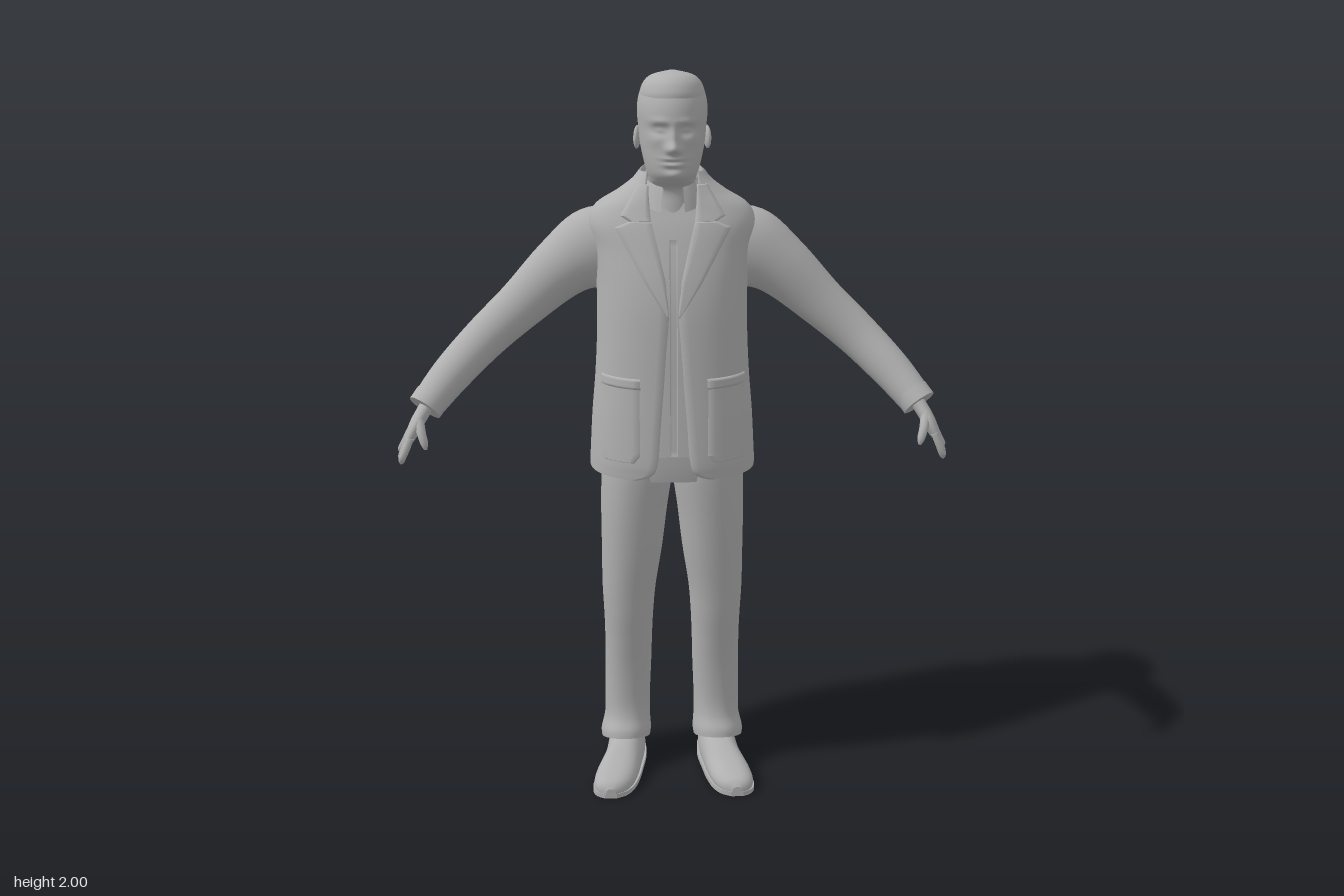
import * as THREE from 'three';

const V = (x, y, z) => new THREE.Vector3(x, y, z);

// Smoothly resample rows of numbers to n + 1 rows
function resample(rows, n) {
  const out = [], last = rows.length - 1;
  for (let i = 0; i <= n; i++) {
    const f = (i / n) * last, k = Math.min(Math.floor(f), last - 1), t = f - k;
    const [a, b, c, d] = [k - 1, k, k + 1, k + 2].map(j => rows[Math.max(0, Math.min(last, j))]);
    out.push(b.map((v, q) => v + 0.5 * t * (c[q] - a[q] + t * (2 * a[q] - 5 * v + 4 * c[q] - d[q] + t * (3 * (v - c[q]) + d[q] - a[q])))));
  }
  return out;
}

// Skin a list of cross-sections; each ring turns right-handed about the direction of travel
function loft(rings, closed = true, caps = true) {
  const pos = [], idx = [], m = rings[0].length;
  rings.forEach(r => r.forEach(p => pos.push(p.x, p.y, p.z)));
  for (let i = 0; i < rings.length - 1; i++) {
    for (let j = 0; j < (closed ? m : m - 1); j++) {
      const a = i * m + j, b = i * m + (j + 1) % m;
      idx.push(a, b, a + m, b, b + m, a + m);
    }
  }
  if (caps && closed) [rings[0], rings[rings.length - 1]].forEach((r, end) => {
    const s = pos.length / 3, c = r.reduce((u, p) => u.add(p), V(0, 0, 0)).divideScalar(m);
    [...r, c].forEach(p => pos.push(p.x, p.y, p.z));
    for (let j = 0; j < m; j++) {
      const k = (j + 1) % m;
      if (end) idx.push(s + j, s + k, s + m); else idx.push(s + k, s + j, s + m);
    }
  });
  const g = new THREE.BufferGeometry();
  g.setAttribute('position', new THREE.Float32BufferAttribute(pos, 3));
  g.setIndex(idx);
  g.computeVertexNormals();
  return g;
}

// Rounded horizontal section with separate front and back depth
const pw = (v, e) => Math.sign(v) * Math.abs(v) ** e;
function section(y, cx, rx, zf, zb, { e = 1, seg = 48, from = 0, to = Math.PI * 2, slope = 0 } = {}) {
  const c = (zf + zb) / 2, r = (zf - zb) / 2, closed = to - from > 6.28, pts = [];
  for (let i = 0; i < (closed ? seg : seg + 1); i++) {
    const t = from + (to - from) * i / seg, z = c + r * pw(Math.cos(t), e);
    pts.push(V(cx + rx * pw(Math.sin(t), e), y + slope * (z - c), z));
  }
  return pts;
}

// Tapered limb along rows of [x, y, z, radius along z, radius across]
function limb(rows, n = 20, seg = 20) {
  const r = resample(rows, n);
  return loft(r.map((p, i) => {
    const a = r[Math.max(0, i - 1)], b = r[Math.min(n, i + 1)];
    const T = V(b[0] - a[0], b[1] - a[1], b[2] - a[2]).normalize();
    const U = V(0, 0, 1).addScaledVector(T, -T.z).normalize(), W = T.clone().cross(U);
    return Array.from({ length: seg }, (_, j) => {
      const t = j / seg * Math.PI * 2;
      return V(p[0], p[1], p[2]).addScaledVector(U, p[3] * Math.cos(t)).addScaledVector(W, p[4] * Math.sin(t));
    });
  }));
}

function mirrored(g) {
  const m = g.clone().scale(-1, 1, 1), ix = m.index.array;
  for (let i = 0; i < ix.length; i += 3) [ix[i], ix[i + 1]] = [ix[i + 1], ix[i]];
  return m;
}

// Jacket rows: y, half width, front z, back z, half of the front opening
const E = 0.85;
const JACKET = resample([
  [0.95, 0.225, 0.155, -0.185, 0.1], [0.965, 0.225, 0.156, -0.185, 0.06], [1.0, 0.223, 0.157, -0.183, 0.043],
  [1.1, 0.217, 0.15, -0.177, 0.035], [1.2, 0.208, 0.142, -0.173, 0.027], [1.3, 0.202, 0.135, -0.176, 0.02],
  [1.4, 0.2, 0.126, -0.185, 0.013], [1.48, 0.202, 0.112, -0.189, 0.025], [1.55, 0.21, 0.093, -0.187, 0.041],
  [1.61, 0.222, 0.073, -0.172, 0.056], [1.655, 0.2, 0.054, -0.152, 0.066], [1.69, 0.145, 0.042, -0.135, 0.068],
  [1.72, 0.105, 0.032, -0.12, 0.066], [1.745, 0.085, 0.022, -0.108, 0.064]], 78);
const rowAt = y => JACKET.reduce((a, b) => Math.abs(b[0] - y) < Math.abs(a[0] - y) ? b : a);
function jacketFront(x, y) {
  const i = Math.max(1, JACKET.findIndex(r => r[0] >= y)), a = JACKET[i - 1], b = JACKET[i];
  const t = (y - a[0]) / (b[0] - a[0]), [, rx, zf, zb] = a.map((v, q) => v + (b[q] - v) * t);
  return (zf + zb) / 2 + (zf - zb) / 2 * Math.max(0, 1 - Math.min(1, Math.abs(x) / rx) ** (2 / E)) ** (E / 2);
}

// Thin cloth panel on the jacket front; rows of [y, inner x, outer x], bottom to top
function panel(rows, lift, n = 16) {
  const cols = [0, 0, 0.2, 0.4, 0.6, 0.8, 1, 1];
  const r = [];
  rows.forEach((b, k) => {
    if (!k) return r.push(b);
    for (let i = 1; i <= n; i++) r.push(rows[k - 1].map((v, q) => v + (b[q] - v) * i / n));
  });
  const ring = ([y, a, b], l) => cols.map((c, j) => {
    const x = a + (b - a) * c;
    return V(x, y, jacketFront(x, y) + (j === 0 || j === 7 ? -0.004 : l));
  });
  return loft([ring(r[0], -0.004), ...r.map(p => ring(p, lift)), ring(r[r.length - 1], -0.004)], false);
}

// Head and neck, with the face pressed out of the front
function headGeometry() {
  const rows = resample([
    [1.6, 0.075, 0.05, -0.11], [1.66, 0.064, 0.042, -0.1], [1.705, 0.062, 0.042, -0.098], [1.73, 0.062, 0.078, -0.096],
    [1.75, 0.067, 0.096, -0.096], [1.78, 0.075, 0.1, -0.102], [1.82, 0.083, 0.099, -0.113], [1.86, 0.087, 0.1, -0.122],
    [1.9, 0.09, 0.1, -0.125], [1.935, 0.086, 0.09, -0.12], [1.965, 0.073, 0.071, -0.104],
    [1.985, 0.05, 0.042, -0.078], [1.995, 0.004, -0.01, -0.02]], 110);
  const bumps = [ // x, y, x spread, y spread, depth
    [0, 1.817, 0.011, 0.01, 0.022], [0, 1.84, 0.008, 0.02, 0.012], [0.013, 1.813, 0.006, 0.006, 0.006],
    [0.033, 1.86, 0.014, 0.009, -0.014], [0.033, 1.86, 0.009, 0.005, 0.009], [0.034, 1.882, 0.018, 0.006, 0.005],
    [0, 1.79, 0.018, 0.004, 0.006], [0, 1.783, 0.021, 0.002, -0.006], [0, 1.776, 0.015, 0.004, 0.006],
    [0, 1.764, 0.018, 0.005, -0.004], [0, 1.747, 0.016, 0.009, 0.006], [0.05, 1.835, 0.013, 0.013, 0.004]];
  return loft(rows.map(([y, rx, zf, zb]) => {
    const ring = section(y, 0, rx, zf, zb, { seg: 96 });
    ring.forEach(p => {
      if (p.z > 0.01) for (const [x, by, sx, sy, d] of bumps) {
        p.z += d * Math.exp(-(((Math.abs(p.x) - x) / sx) ** 2 + ((y - by) / sy) ** 2) / 2);
      }
    });
    return ring;
  }));
}

export function createModel() {
  const model = new THREE.Group();
  const grey = new THREE.MeshStandardMaterial({ color: 0xb0b0b0, side: THREE.DoubleSide });
  grey.name = 'plainGrey';
  const add = (name, g) => {
    const m = new THREE.Mesh(g, grey);
    m.name = name;
    model.add(m);
  };
  const pair = (name, g) => { add(name + 'Left', g); add(name + 'Right', mirrored(g)); };

  // Head, ears and short hair
  add('head', headGeometry());
  const ear = new THREE.SphereGeometry(1, 16, 12).scale(0.009, 0.03, 0.018).rotateX(-0.2).rotateY(0.3);
  pair('ear', ear.translate(0.09, 1.832, -0.012));
  add('hair', loft(resample([[1.93, 0.084, 0.09, -0.121], [1.945, 0.083, 0.088, -0.118], [1.97, 0.073, 0.074, -0.104],
    [1.988, 0.051, 0.046, -0.08], [1.999, 0.004, -0.01, -0.018]], 16)
    .map(([y, rx, zf, zb]) => section(y, 0, rx, zf, zb, { slope: 0.08 })), true, false));
  for (let i = -2; i <= 2; i++) {
    const tuft = new THREE.SphereGeometry(1, 12, 8).scale(0.012, 0.008, 0.028).rotateX(0.5);
    add('hairTuft', tuft.translate(i * 0.014, 1.979 - Math.abs(i) * 0.003, 0.052 - Math.abs(i) * 0.004));
  }

  // Shirt, its front strip and its collar
  add('shirt', loft(JACKET.filter(r => r[0] > 1 && r[0] < 1.7)
    .map(([y, rx, zf, zb]) => section(y, 0, rx - 0.014, zf - 0.014, zb + 0.014, { e: E }))));
  add('shirtStrip', panel([[1.02, -0.01, 0.01], [1.58, -0.01, 0.01]], -0.008, 40));
  const collar = (rows, gap, slope) => loft(rows.map(([y, rx, zf, zb]) =>
    section(y, 0, rx, zf, zb, { from: gap, to: Math.PI * 2 - gap, slope })), false);
  add('shirtCollar', collar([[1.675, 0.082, 0.066, -0.116], [1.7, 0.078, 0.058, -0.114], [1.735, 0.07, 0.046, -0.107],
    [1.735, 0.065, 0.043, -0.102], [1.69, 0.067, 0.046, -0.104]], 0.38, -0.3));

  // Jacket body, open down the front with turned-in edges
  add('jacket', loft(JACKET.map(([y, rx, zf, zb, g]) => {
    const t = Math.asin((g / rx) ** (1 / E));
    const ring = section(y, 0, rx, zf, zb, { e: E, seg: 64, from: t, to: Math.PI * 2 - t });
    const tuck = p => V(p.x, p.y, p.z - 0.016);
    return [tuck(ring[0]), ...ring, tuck(ring[64])];
  }), false));
  add('jacketCollar', collar([[1.672, 0.128, 0.062, -0.142], [1.7, 0.108, 0.056, -0.133], [1.738, 0.086, 0.042, -0.121],
    [1.742, 0.079, 0.038, -0.114], [1.7, 0.08, 0.04, -0.115]], 0.75, -0.28));
  const gap = y => rowAt(y)[4];
  pair('lapel', panel([[1.39, 0.013, 0.016], [1.48, gap(1.48) - 0.004, 0.075], [1.55, gap(1.55) - 0.004, 0.115],
    [1.61, gap(1.61) - 0.004, 0.15], [1.625, gap(1.625) - 0.004, 0.115]], 0.007));
  pair('upperLapel', panel([[1.628, 0.056, 0.112], [1.64, 0.058, 0.135], [1.69, 0.062, 0.105], [1.715, 0.062, 0.09]], 0.008));
  pair('pocket', panel([[1.0, 0.105, 0.185], [1.02, 0.09, 0.192], [1.222, 0.09, 0.188]], 0.005));
  pair('pocketFlap', panel([[1.2, 0.088, 0.19], [1.226, 0.088, 0.19]], 0.008, 4));

  // Sleeves and cuffs
  pair('sleeve', limb([[0.1, 1.555, -0.07, 0.08, 0.085], [0.2, 1.535, -0.072, 0.086, 0.108], [0.29, 1.485, -0.065, 0.076, 0.085],
    [0.4, 1.388, -0.05, 0.057, 0.067], [0.5, 1.3, -0.03, 0.054, 0.059], [0.59, 1.213, 0.018, 0.052, 0.053],
    [0.655, 1.14, 0.072, 0.045, 0.045]], 40, 32));
  pair('cuff', limb([[0.638, 1.163, 0.056, 0.048, 0.047], [0.658, 1.137, 0.075, 0.048, 0.047]], 2, 32));

  // Hands: palm, four fingers and thumb
  pair('palm', limb([[0.64, 1.16, 0.065, 0.022, 0.02], [0.664, 1.125, 0.084, 0.025, 0.019], [0.682, 1.095, 0.095, 0.036, 0.018],
    [0.7, 1.06, 0.1, 0.036, 0.014], [0.705, 1.052, 0.1, 0.026, 0.008]], 14, 20));
  for (let i = 0; i < 4; i++) {
    const z = 0.13 - i * 0.021, drop = [0.058, 0.07, 0.066, 0.05][i], r = i === 3 ? 0.0085 : 0.01;
    const x = 0.693 + i * 0.004;
    pair('finger', limb([[x, 1.07, z, r, r], [x + 0.014, 1.066 - drop * 0.5, z + 0.003, r, r],
      [x + 0.025, 1.066 - drop * 0.9, z + 0.002, r * 0.9, r * 0.9], [x + 0.027, 1.062 - drop, z, r * 0.3, r * 0.3]], 10, 10));
  }
  pair('thumb', limb([[0.672, 1.115, 0.105, 0.014, 0.014], [0.664, 1.085, 0.128, 0.013, 0.012],
    [0.656, 1.058, 0.138, 0.01, 0.01], [0.653, 1.042, 0.14, 0.004, 0.004]], 10, 10));

  // Trousers: hips and legs with slanted hems
  add('hips', loft([[0.93, 0.19, 0.11, -0.148], [0.98, 0.195, 0.118, -0.155], [1.06, 0.192, 0.118, -0.155]]
    .map(([y, rx, zf, zb]) => section(y, 0, rx, zf, zb, { e: E }))));
  pair('trouserLeg', loft(resample([ // y, centre x, half width, front z, back z, slope
    [0.075, 0.136, 0.071, 0.047, -0.138, 0.38], [0.1, 0.135, 0.073, 0.042, -0.139, 0.35], [0.15, 0.131, 0.066, 0.026, -0.137, 0.2],
    [0.22, 0.13, 0.066, 0.02, -0.133, 0], [0.32, 0.127, 0.067, 0.027, -0.128, 0], [0.42, 0.125, 0.068, 0.043, -0.125, 0],
    [0.5, 0.124, 0.071, 0.058, -0.124, 0], [0.58, 0.122, 0.076, 0.07, -0.125, 0], [0.7, 0.113, 0.085, 0.088, -0.131, 0],
    [0.82, 0.106, 0.092, 0.103, -0.14, 0], [0.93, 0.097, 0.098, 0.113, -0.15, 0], [1.0, 0.095, 0.095, 0.112, -0.15, 0]], 60)
    .map(([y, cx, rx, zf, zb, slope]) => section(y, cx, rx, zf, zb, { e: 0.92, slope }))));

  // Shoes and soles: z, centre x, half width, height
  const shoe = resample([[-0.126, 0.128, 0.022, 0.05], [-0.11, 0.13, 0.046, 0.09], [-0.04, 0.133, 0.054, 0.115],
    [0.03, 0.143, 0.054, 0.1], [0.09, 0.16, 0.06, 0.072], [0.14, 0.172, 0.056, 0.058], [0.17, 0.178, 0.04, 0.046],
    [0.185, 0.18, 0.014, 0.03]], 36);
  pair('shoe', loft(shoe.map(([z, cx, w, h]) => Array.from({ length: 32 }, (_, j) => {
    const t = j / 32 * Math.PI * 2;
    return V(cx + w * pw(Math.cos(t), 0.8), 0.006 + (h - 0.006) * Math.max(0, 0.35 + 0.65 * Math.sin(t)), z);
  }))));
  pair('sole', loft(shoe.map(([z, cx, w]) => [[1, 0], [1, 0.014], [-1, 0.014], [-1, 0]]
    .map(([s, y]) => V(cx + s * (w + 0.003), y, z)))).toNonIndexed().computeVertexNormals() ?? solid(shoe));

  return model;
}

// Flat-sided sole block
function solid(rows) {
  const ring = ([z, cx, w]) => [[1, 0], [1, 0.014], [-1, 0.014], [-1, 0]].map(([s, y]) => V(cx + s * (w + 0.003), y, z));
  const g = loft(rows.map(ring)).toNonIndexed();
  g.computeVertexNormals();
  g.setIndex([...Array(g.attributes.position.count).keys()]);
  return g;
}
